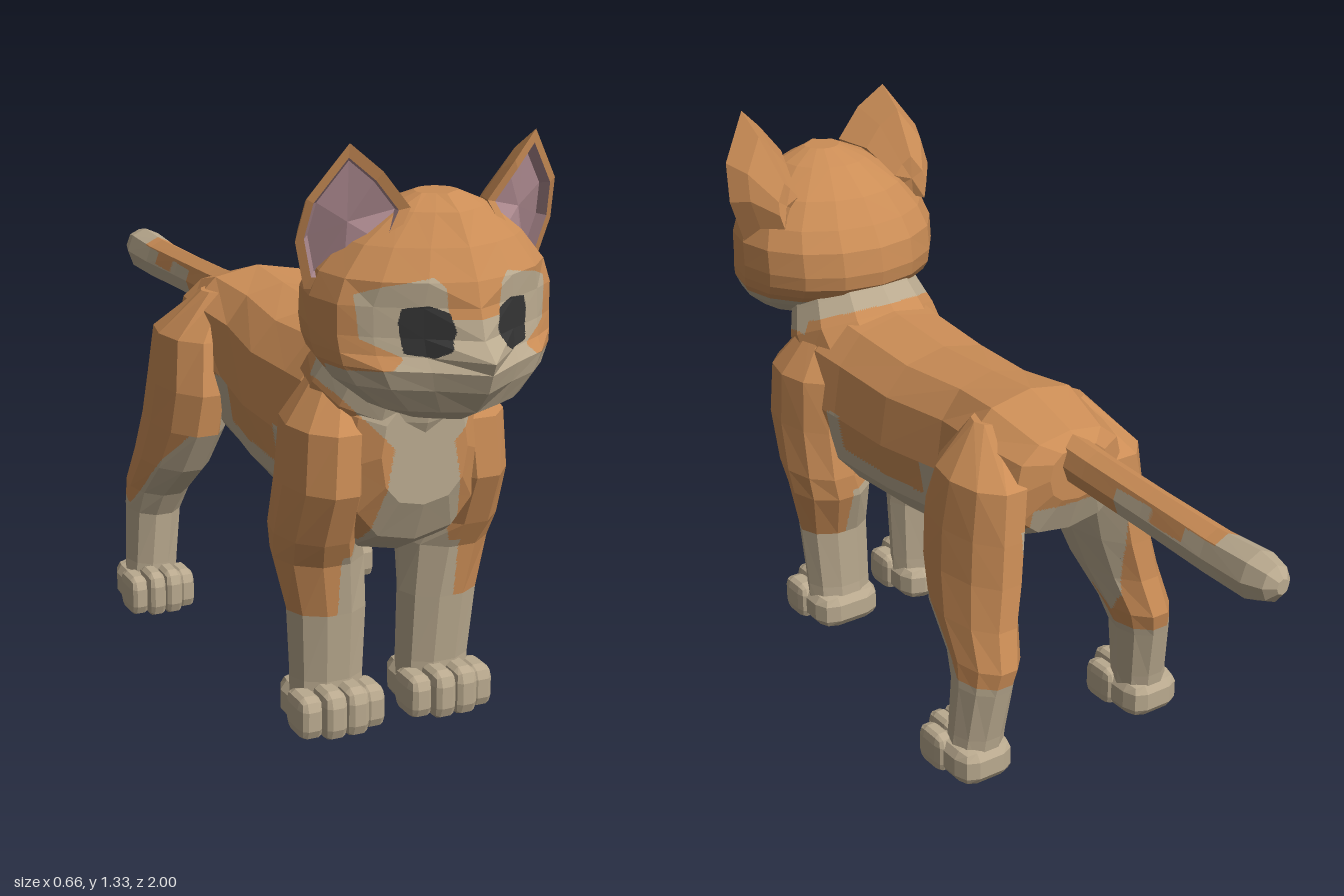
import * as THREE from 'three';
import { RoundedBoxGeometry } from 'three/addons/geometries/RoundedBoxGeometry.js';

const V = (x, y, z) => new THREE.Vector3(x, y, z);
const ORANGE = 0, CREAM = 1, DARK = 2, PINK = 3;

// Elliptical ring: centre c, half-axes u and v; a power under 1 makes it boxier
function ring(c, u, v, n = 12, power = 1) {
  const shape = (k) => Math.sign(k) * Math.abs(k) ** power;
  return Array.from({ length: n }, (_, i) => {
    const t = (i / n) * Math.PI * 2;
    return c.clone().addScaledVector(u, shape(Math.cos(t))).addScaledVector(v, shape(Math.sin(t)));
  });
}

// Closed faceted skin through rings; facets are cut finer only where the coat colour changes
function loft(rings, paint, depth) {
  const tris = [];
  const n = rings[0].length;
  const cap = (r, band, flip) => {
    const m = r.reduce((s, p) => s.add(p), V(0, 0, 0)).divideScalar(n);
    r.forEach((p, i) => {
      const q = r[(i + 1) % n];
      tris.push(flip ? [m, q, p, band] : [m, p, q, band]);
    });
  };
  cap(rings[0], -1, true);
  for (let k = 0; k < rings.length - 1; k++) {
    for (let i = 0; i < n; i++) {
      const j = (i + 1) % n, A = rings[k], B = rings[k + 1];
      // Mirrored diagonals keep both halves alike
      if (i < n / 2) tris.push([A[i], A[j], B[j], k], [A[i], B[j], B[i], k]);
      else tris.push([A[i], A[j], B[i], k], [A[j], B[j], B[i], k]);
    }
  }
  cap(rings[rings.length - 1], rings.length - 1, false);

  // Turn every facet outwards
  const o = rings[0][0];
  const sub = (p) => p.clone().sub(o);
  const volume = tris.reduce((s, [a, b, c]) => s + sub(a).dot(sub(b).cross(sub(c))), 0);
  const buckets = [[], [], [], []];
  const split = (a, b, c, band, d) => {
    const m = a.clone().add(b).add(c).divideScalar(3);
    const look = (p) => paint(Math.abs(p.x), p.y, p.z, band);
    const col = look(m);
    if (d > 0 && (d > depth - 2 || [a, b, c].some((p) => look(p) !== col))) {
      const ab = a.clone().lerp(b, 0.5), bc = b.clone().lerp(c, 0.5), ca = c.clone().lerp(a, 0.5);
      split(a, ab, ca, band, d - 1);
      split(ab, b, bc, band, d - 1);
      split(ca, bc, c, band, d - 1);
      split(ab, bc, ca, band, d - 1);
    } else {
      for (const p of [a, b, c]) buckets[col].push(p.x, p.y, p.z);
    }
  };
  for (const [a, b, c, band] of tris) volume > 0 ? split(a, b, c, band, depth) : split(a, c, b, band, depth);

  const g = new THREE.BufferGeometry();
  g.setAttribute('position', new THREE.Float32BufferAttribute(buckets.flat(), 3));
  let start = 0;
  buckets.forEach((b, i) => {
    if (b.length) g.addGroup(start, b.length / 3, i);
    start += b.length / 3;
  });
  g.computeVertexNormals();
  return g;
}

function inside(poly, x, y) {
  let hit = false;
  for (let i = 0, j = poly.length - 1; i < poly.length; j = i++) {
    const [xi, yi] = poly[i], [xj, yj] = poly[j];
    if (yi > y !== yj > y && x < ((xj - xi) * (y - yi)) / (yj - yi) + xi) hit = !hit;
  }
  return hit;
}

// Coat markings, x measured from the middle
const EYE = [[0.06, 0.94], [0.085, 0.925], [0.135, 0.93], [0.142, 0.99], [0.135, 1.018], [0.09, 1.025], [0.055, 1.012], [0.045, 0.975]];
const MASK = [[-0.01, 1], [0.055, 1], [0.06, 1.06], [0.08, 1.08], [0.17, 1.06], [0.212, 1.04], [0.205, 0.955],
  [0.135, 0.922], [0.16, 0.9], [0.27, 0.885], [0.27, 0.7], [-0.01, 0.7]];
const bib = (x, y, z) => z > 0.55 && x < (y > 0.68 ? 0.07 + (y - 0.68) * 0.9 : 0.07 + (0.68 - y) * 0.17);

const paintHead = (x, y, z) => {
  if (z < 0.74) return y < 0.88 ? CREAM : ORANGE;
  if (inside(EYE, x, y)) return DARK;
  return inside(MASK, x, y) ? CREAM : ORANGE;
};
const paintBody = (x, y, z) => {
  const belly = z > -0.12 && z < 0.43 && y < (z > 0.38 || z < 0.06 ? 0.65 : 0.56);
  const collar = z > 0.38 && y > 0.885 - (z - 0.44) * 0.41;
  const rump = z < -0.2 && x < 0.11 && y < 0.66;
  return belly || collar || rump || y < 0.46 || bib(x, y, z) ? CREAM : ORANGE;
};
const paintFrontLeg = (x, y, z) =>
  y < 0.28 || (y < 0.42 && x < 0.14) || bib(x, y, z) ? CREAM : ORANGE;
const paintRearLeg = (x, y, z) => {
  const shin = y < 0.5 && z > y - 0.54;
  return y < 0.27 || shin || (x < 0.15 && y < 0.62) ? CREAM : ORANGE;
};
const paintTail = (x, y, z) => {
  const under = z > -0.63 || z < -0.74 ? 0.78 : 0.75;
  return z < -0.83 || (z < -0.51 && y < under) ? CREAM : ORANGE;
};

export function createModel() {
  const cat = new THREE.Group();
  cat.name = 'cat';
  const mats = [['orangeFur', 0xcb8d56], ['creamFur', 0xbaaa8f], ['darkEye', 0x333333], ['pinkEar', 0xb08c92]]
    .map(([name, color]) => Object.assign(new THREE.MeshStandardMaterial({ color }), { name }));
  const add = (name, rings, paint, depth = 4) => {
    const m = new THREE.Mesh(loft(rings, paint, depth), mats);
    m.name = name;
    cat.add(m);
  };

  // Body: z, top, bottom, half width
  add('body', [
    [-0.335, 0.8, 0.67, 0.08], [-0.3, 0.825, 0.58, 0.15], [-0.15, 0.872, 0.5, 0.19], [0, 0.862, 0.44, 0.16],
    [0.2, 0.853, 0.43, 0.188], [0.4, 0.868, 0.42, 0.195], [0.5, 0.88, 0.415, 0.205], [0.6, 0.85, 0.41, 0.195],
    [0.68, 0.82, 0.46, 0.15], [0.72, 0.78, 0.55, 0.1],
  ].map(([z, t, b, w]) => ring(V(0, (t + b) / 2, z), V(0, (t - b) / 2, 0), V(w, 0, 0), 12, 0.8)), paintBody);

  // Neck: back point, front point, half width
  add('neck', [
    [0.36, 0.82, 0.7, 0.66, 0.19], [0.42, 0.87, 0.73, 0.73, 0.19], [0.47, 0.92, 0.74, 0.79, 0.17], [0.52, 0.98, 0.78, 0.85, 0.15],
  ].map(([zb, yb, zf, yf, w]) =>
    ring(V(0, (yb + yf) / 2, (zb + zf) / 2), V(0, (yf - yb) / 2, (zf - zb) / 2), V(w, 0, 0))), paintBody);

  // Head: y, back, front, half width, muzzle push
  add('head', [
    [0.78, 0.7, 0.87, 0.09, 0], [0.81, 0.64, 0.92, 0.165, 0.01], [0.86, 0.55, 0.94, 0.225, 0.035], [0.9, 0.49, 0.95, 0.25, 0.04],
    [0.925, 0.47, 0.95, 0.255, 0.05], [0.96, 0.465, 0.94, 0.258, 0.015], [1.02, 0.475, 0.935, 0.258, 0],
    [1.07, 0.505, 0.92, 0.24, 0], [1.13, 0.55, 0.885, 0.19, 0], [1.19, 0.63, 0.84, 0.11, 0], [1.218, 0.7, 0.79, 0.045, 0],
  ].map(([y, b, f, w, push]) => {
    const r = ring(V(0, y, (b + f) / 2), V(0, 0, (f - b) / 2), V(w, 0, 0), 16);
    r[0].z += push;
    // Eye sockets sit back from the muzzle
    for (const i of [1, 2, 14, 15]) r[i].z -= y > 0.91 && y < 1.05 ? 0.03 : 0.01;
    return r;
  }), paintHead, 5);

  // Tail: z, y, half width, half height
  add('tail', [
    [-0.28, 0.765, 0.047, 0.056], [-0.4, 0.758, 0.045, 0.054], [-0.6, 0.75, 0.044, 0.054], [-0.8, 0.743, 0.047, 0.055],
    [-0.93, 0.746, 0.052, 0.058], [-0.98, 0.75, 0.038, 0.042], [-1, 0.752, 0.016, 0.018],
  ].map(([z, y, w, h]) => ring(V(0, y, z), V(0, h, 0), V(w, 0, 0), 8)), paintTail);

  const pawGeo = new RoundedBoxGeometry(2, 2, 2, 1, 0.55);
  pawGeo.computeVertexNormals();
  const block = (parent, name, x, y, z, sx, sy, sz) => {
    const m = new THREE.Mesh(pawGeo, mats[CREAM]);
    m.name = name;
    m.position.set(x, y, z);
    m.scale.set(sx, sy, sz);
    parent.add(m);
  };

  for (const [side, s] of [['left', 1], ['right', -1]]) {
    // Legs: y, x, z, half width, half depth
    const limb = (rows) => rows.map(([y, x, z, w, d]) => ring(V(s * x, y, z), V(w, 0, 0), V(0, 0, d), 10));
    add(side + 'FrontLeg', limb([
      [0.82, 0.12, 0.55, 0.045, 0.06], [0.71, 0.155, 0.565, 0.09, 0.13], [0.58, 0.165, 0.565, 0.088, 0.14],
      [0.46, 0.165, 0.53, 0.093, 0.125], [0.4, 0.15, 0.515, 0.102, 0.108], [0.28, 0.135, 0.53, 0.092, 0.076],
      [0.12, 0.13, 0.522, 0.086, 0.068], [0.04, 0.13, 0.52, 0.086, 0.072],
    ]), paintFrontLeg);
    add(side + 'RearLeg', limb([
      [0.825, 0.1, -0.14, 0.05, 0.045], [0.72, 0.155, -0.18, 0.09, 0.14], [0.6, 0.172, -0.17, 0.088, 0.165],
      [0.5, 0.185, -0.18, 0.086, 0.165], [0.4, 0.205, -0.212, 0.08, 0.145], [0.31, 0.22, -0.275, 0.072, 0.108],
      [0.25, 0.23, -0.285, 0.066, 0.085], [0.12, 0.24, -0.275, 0.064, 0.07], [0.04, 0.247, -0.27, 0.066, 0.066],
    ]), paintRearLeg);

    // Paws with four toes each
    for (const [name, x, z, w] of [['FrontPaw', 0.132, 0.54, 0.1], ['RearPaw', 0.248, -0.25, 0.082]]) {
      const paw = new THREE.Group();
      paw.name = side + name;
      block(paw, 'pad', s * x, 0.052, z - 0.015, w * 0.9, 0.049, 0.085);
      [-0.74, -0.26, 0.26, 0.74].forEach((k, i) => {
        const mid = i === 1 || i === 2;
        block(paw, 'toe', s * (x + k * w), mid ? 0.06 : 0.055, z + (mid ? 0.06 : 0.04), w * 0.28, mid ? 0.056 : 0.049, 0.05);
      });
      cat.add(paw);
    }

    // Ear: hollow and turned a little outwards, tapering back into the head
    const rim = [[0.205, 1.33, 0.775], [0.145, 1.275, 0.8], [0.085, 1.2, 0.8], [0.13, 1.12, 0.81],
      [0.21, 1.04, 0.76], [0.262, 1.03, 0.69], [0.288, 1.13, 0.705], [0.277, 1.22, 0.735]].map(([x, y, z]) => V(s * x, y, z));
    const mid = V(s * 0.205, 1.17, 0.755), root = V(s * 0.165, 1.05, 0.53);
    const toward = (p, k, shift = V(0, 0, 0)) => rim.map((q) => q.clone().lerp(p, k).add(shift));
    const inner = toward(mid, 0.18);
    const hollow = toward(mid, 0.24, V(-s * 0.01, 0, -0.02));
    add(side + 'Ear', [hollow, inner, rim, toward(root, 0.3, V(s * 0.008, 0.035, 0)), toward(root, 0.65, V(s * 0.005, 0.035, 0))],
      (x, y, z, band) => (band < 1 ? PINK : ORANGE), 0);
  }
  return cat;
}
